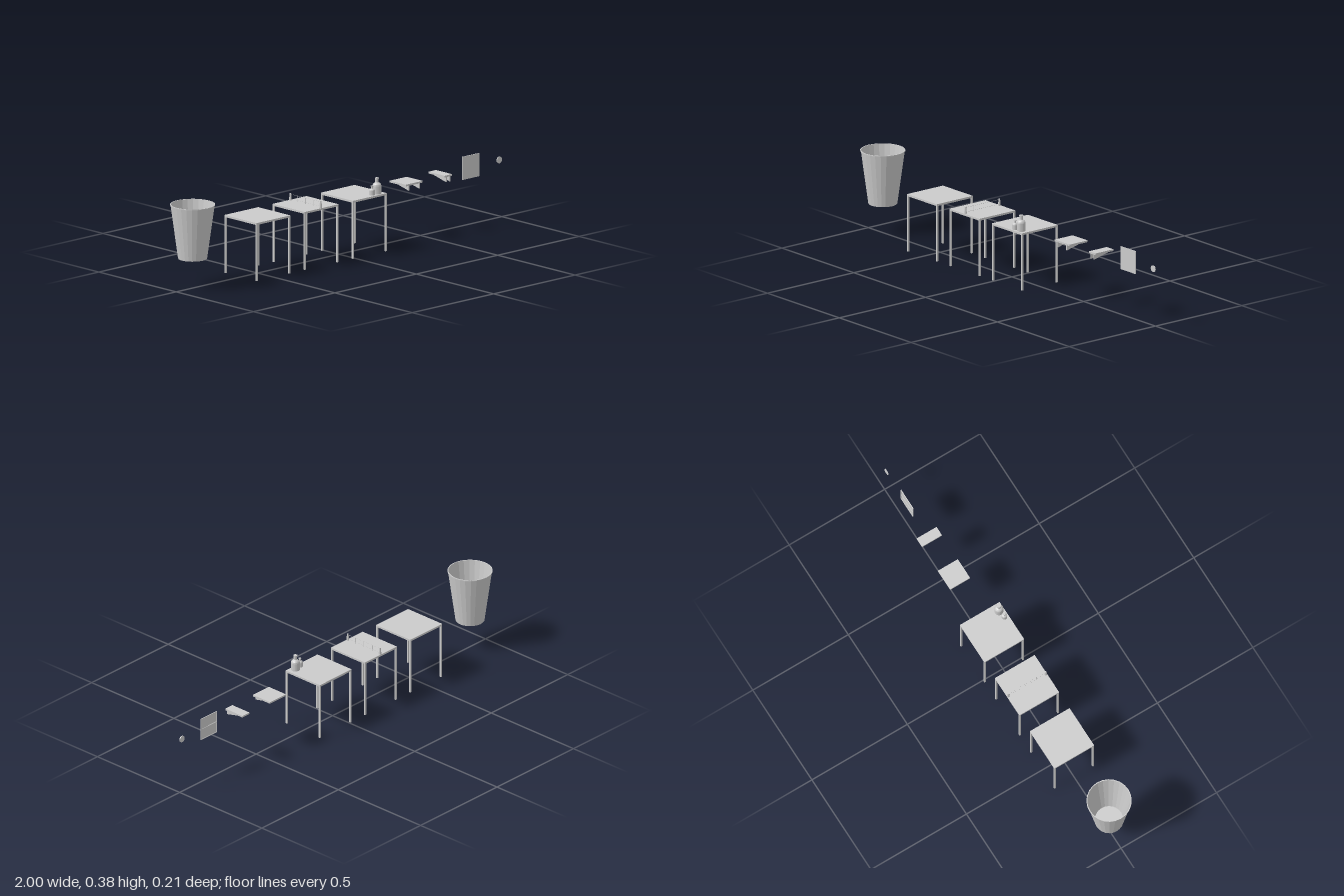
import * as THREE from 'three';

const grey = new THREE.MeshStandardMaterial({ color: 0xcccccc });
const flat = new THREE.MeshStandardMaterial({ color: 0xcccccc, flatShading: true, side: THREE.DoubleSide });

function add(parent, name, geometry, x, y, z, material = grey) {
  const mesh = new THREE.Mesh(geometry, material);
  mesh.name = name;
  mesh.position.set(x, y, z);
  parent.add(mesh);
  return mesh;
}

const box = (parent, name, w, h, d, x, y, z) =>
  add(parent, name, new THREE.BoxGeometry(w, h, d), x, y, z);

function lathe(parent, name, points, sides, x, y, z, material) {
  const profile = points.map(([r, h]) => new THREE.Vector2(r, h));
  return add(parent, name, new THREE.LatheGeometry(profile, sides), x, y, z, material);
}

function group(parent, name, x, y = 0, z = 0) {
  const g = new THREE.Group();
  g.name = name;
  g.position.set(x, y, z);
  parent.add(g);
  return g;
}

const TOP = 0.266; // height of all table and shelf surfaces

// square table on four thin legs
function table(parent, name, x) {
  const g = group(parent, name, x);
  box(g, 'tableTop', 0.208, 0.009, 0.208, 0, TOP - 0.0045, 0);
  for (const sx of [-1, 1])
    for (const sz of [-1, 1])
      box(g, 'leg', 0.008, TOP - 0.009, 0.008, sx * 0.1, (TOP - 0.009) / 2, sz * 0.1);
  return g;
}

// bottle with rounded shoulder, narrow neck and lip
function bottle(parent, name, r, h, x, z) {
  const points = [[0, 0], [1, 0], [1, 0.5], [0.92, 0.59], [0.7, 0.66], [0.42, 0.71],
    [0.38, 0.76], [0.38, 0.93], [0.47, 0.94], [0.47, 1], [0, 1]];
  lathe(parent, name, points.map(([a, b]) => [a * r, b * h]), 20, x, TOP, z, flat);
}

// wall shelf with two triangular brackets, deepest at +z
function shelf(parent, name, x, width, bracketX) {
  const g = group(parent, name, x);
  box(g, 'board', width, 0.008, 0.104, 0, TOP - 0.004, 0);
  const side = new THREE.Shape([[0.052, 0], [0.052, -0.023], [-0.046, 0]]
    .map(([a, b]) => new THREE.Vector2(-a, b)));
  for (const s of [-1, 1]) {
    const geo = new THREE.ExtrudeGeometry(side, { depth: 0.006, bevelEnabled: false });
    geo.translate(0, 0, -0.003);
    geo.rotateY(Math.PI / 2); // shape x becomes -z
    add(g, 'bracket', geo, s * bracketX, TOP - 0.008, 0);
  }
}

export function createModel() {
  const model = new THREE.Group();
  model.name = 'furnitureSet';

  // open bucket with a small rim
  lathe(model, 'bucket', [[0, 0], [0.065, 0], [0.0985, 0.244], [0.101, 0.244], [0.101, 0.248],
    [0.097, 0.248], [0.063, 0.003], [0, 0.003]], 24, -0.899, 0.137, 0, flat);

  // plain table
  table(model, 'plainTable', -0.501);

  // table with a fine net between two tapered posts
  const netTable = table(model, 'netTable', -0.205);
  for (const s of [-1, 1]) {
    const post = new THREE.CylinderGeometry(0.0035, 0.0065, 0.032, 8);
    add(netTable, 'netPost', post, 0, TOP + 0.016, s * 0.098, flat);
  }
  for (const z of [-0.05, 0, 0.05])
    box(netTable, 'netUpright', 0.001, 0.028, 0.0012, 0, TOP + 0.014, z);
  for (const y of [0.007, 0.028])
    box(netTable, 'netCord', 0.0008, 0.0008, 0.194, 0, TOP + y, 0);

  // table with two bottles
  const bottleTable = table(model, 'bottleTable', 0.091);
  bottle(bottleTable, 'largeBottle', 0.02, 0.072, 0.068, 0.078);
  bottle(bottleTable, 'smallBottle', 0.013, 0.042, 0.032, 0.084);

  // wide and narrow shelves
  shelf(model, 'wideShelf', 0.413, 0.104, 0.031);
  shelf(model, 'narrowShelf', 0.622, 0.046, 0.0105);

  // upright panel, plain in front, framed with a crossbar behind
  const panel = group(model, 'panel', 0.81, 0.263, 0);
  box(panel, 'panelFace', 0.104, 0.106, 0.002, 0, 0, 0.0005);
  for (const s of [-1, 1]) {
    box(panel, 'panelStile', 0.004, 0.106, 0.002, s * 0.05, 0, -0.0015);
    box(panel, 'panelRail', 0.096, 0.004, 0.002, 0, s * 0.051, -0.0015);
  }
  box(panel, 'panelCrossbar', 0.096, 0.004, 0.002, 0, 0, -0.0015);

  // small round disc
  const disc = new THREE.CylinderGeometry(0.0155, 0.0155, 0.004, 12);
  disc.rotateX(Math.PI / 2);
  add(model, 'disc', disc, 0.9845, 0.263, 0, flat);

  return model;
}
